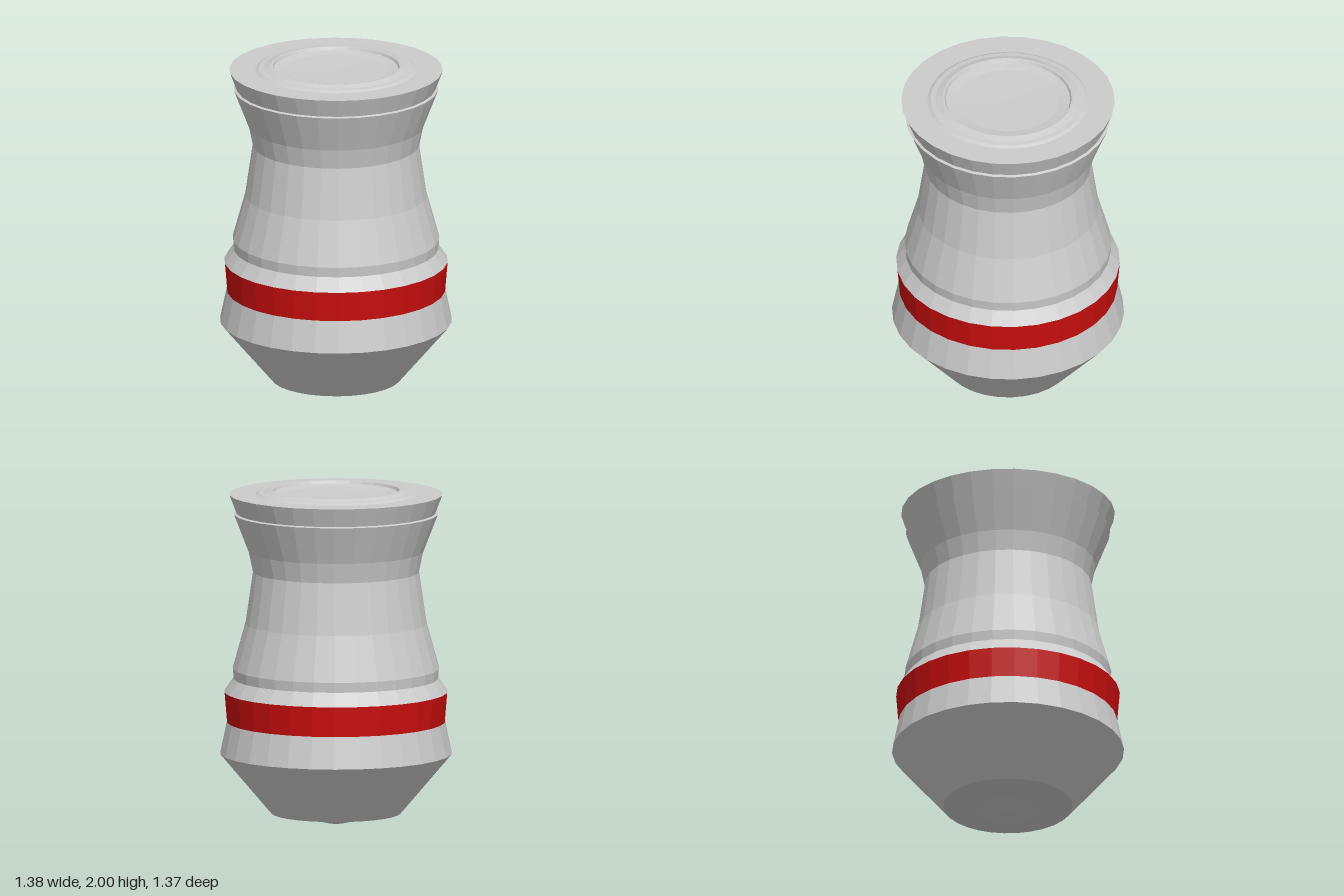
import * as THREE from 'three';

const SIDES = 30;

export function createModel() {
  const group = new THREE.Group();
  const grey = new THREE.MeshStandardMaterial({ color: 0xcccccc, flatShading: true });
  grey.name = 'light grey';
  const red = new THREE.MeshStandardMaterial({ color: 0xcc0e0e, flatShading: true });
  red.name = 'red';

  // Turned section from [radius, height] pairs, running up the outside and in over the top
  const turn = (name, material, profile) => {
    const points = profile.map(([r, y]) => new THREE.Vector2(r, y));
    const mesh = new THREE.Mesh(new THREE.LatheGeometry(points, SIDES, Math.PI / 2), material);
    mesh.name = name;
    group.add(mesh);
  };

  // Shallow pointed underside and flared base
  turn('underside', grey, [[0, 0.005], [0.05, 0], [0.19, 0.035], [0.385, 0.06]]);
  turn('base', grey, [[0.385, 0.06], [0.69, 0.42], [0.65, 0.61]]);

  // Coloured belt
  turn('belt', red, [[0.65, 0.61], [0.665, 0.79]]);

  // Waisted body
  turn('body', grey, [
    [0.665, 0.79], [0.61, 0.87], [0.615, 0.93], [0.54, 1.2],
    [0.495, 1.51], [0.52, 1.63], [0.608, 1.857], [0.592, 1.863],
  ]);

  // Rim with flat top
  turn('rim', grey, [[0.592, 1.863], [0.635, 1.975], [0.48, 1.975]]);

  // Stepped ring and shallow dish in the lid
  turn('lidRing', grey, [
    [0.48, 1.975], [0.46, 1.985], [0.43, 1.987], [0.388, 2],
    [0.378, 1.998], [0.37, 1.982],
  ]);
  turn('lidDish', grey, [[0.37, 1.982], [0.305, 1.972], [0, 1.97]]);

  return group;
}
